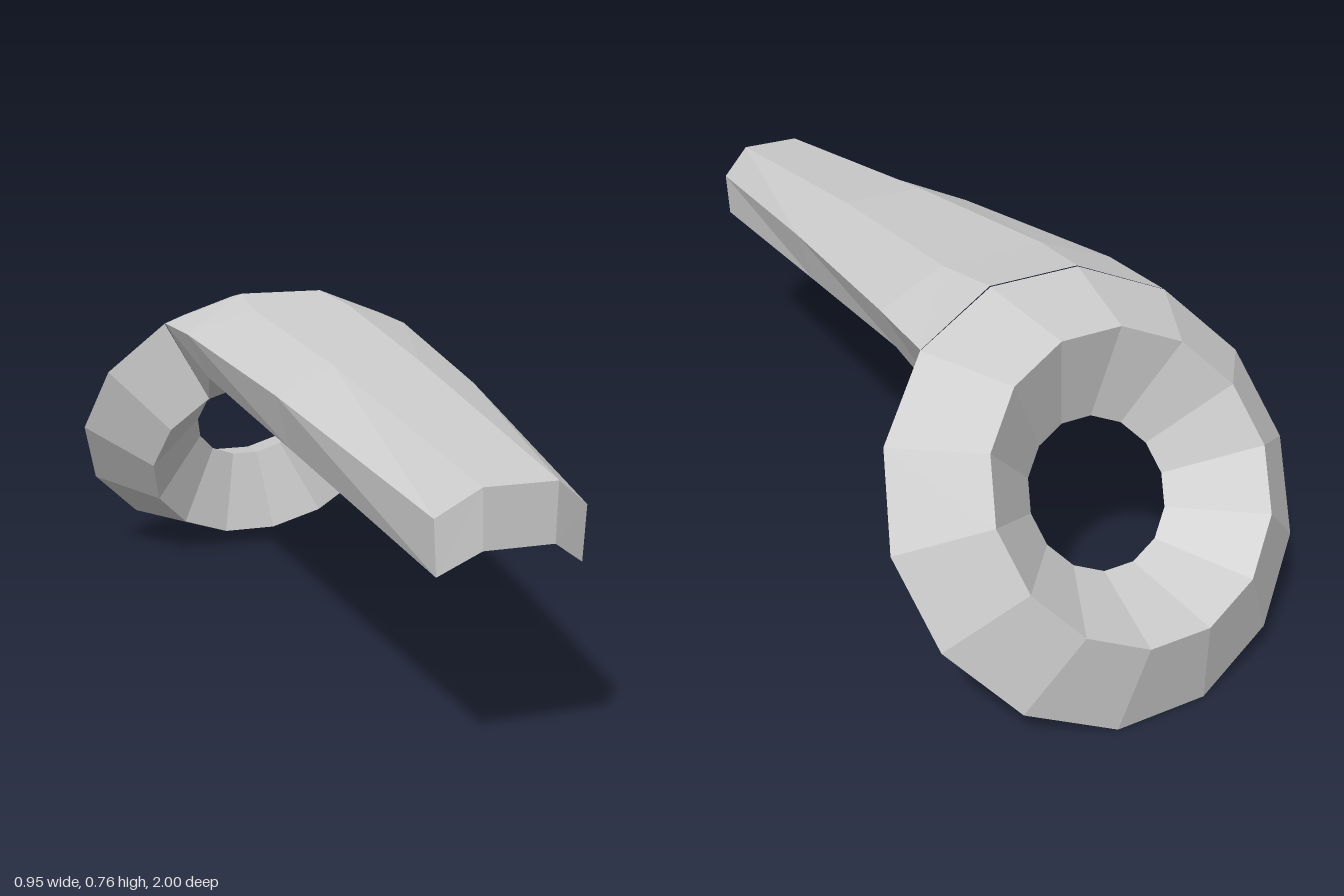
import * as THREE from 'three';

const material = new THREE.MeshStandardMaterial({ color: 0xcccccc, flatShading: true });

// Tilted ring with a diamond section, left open where the handle joins
function makeRing() {
  const geometry = new THREE.TorusGeometry(0.318, 0.158, 4, 14);
  const index = Array.from(geometry.index.array);
  index.splice(2 * 6, 3 * 6); // three upper front faces
  geometry.setIndex(index);
  const ring = new THREE.Mesh(geometry, material);
  ring.name = 'ring';
  ring.rotation.x = 0.614;
  ring.position.set(0, 0.38, -0.69);
  return ring;
}

// Arched handle lofted through mirrored cross-sections, from ring to tip
function makeHandle() {
  // each half section: outer top, ridge, lower middle, lower outer
  const halves = [
    [[0.296, 0.685, -0.475], [0.106, 0.76, -0.42], [0.071, 0.542, -0.381], [0.198, 0.491, -0.417]],
    [[0.287, 0.685, -0.28], [0.125, 0.742, -0.25], [0.11, 0.625, -0.24], [0.24, 0.577, -0.255]],
    [[0.232, 0.63, 0.28], [0.1, 0.688, 0.28], [0.09, 0.57, 0.28], [0.2, 0.51, 0.27]],
    [[0.153, 0.53, 0.965], [0.075, 0.59, 1], [0.072, 0.472, 1], [0.147, 0.42, 0.965]],
  ];
  const flip = ([x, y, z]) => [-x, y, z];
  const sections = halves.map(([o, t, m, b]) => [o, t, flip(t), flip(o), flip(b), flip(m), m, b]);
  const positions = [];
  const quad = (a, b, c, d) => positions.push(...a, ...b, ...c, ...a, ...c, ...d);

  for (let s = 0; s < sections.length - 1; s++) {
    const p = sections[s], q = sections[s + 1];
    for (let k = 0; k < 8; k++) {
      const n = (k + 1) % 8;
      quad(p[k], p[n], q[n], q[k]);
    }
  }
  // Arched cap at the tip
  const e = sections[sections.length - 1];
  for (let k = 0; k < 3; k++) quad(e[k], e[k + 1], e[6 - k], e[7 - k]);

  const geometry = new THREE.BufferGeometry();
  geometry.setAttribute('position', new THREE.Float32BufferAttribute(positions, 3));
  geometry.computeVertexNormals();
  const handle = new THREE.Mesh(geometry, material);
  handle.name = 'handle';
  return handle;
}

export function createModel() {
  const group = new THREE.Group();
  group.name = 'ringHandle';
  group.add(makeRing(), makeHandle());
  return group;
}
